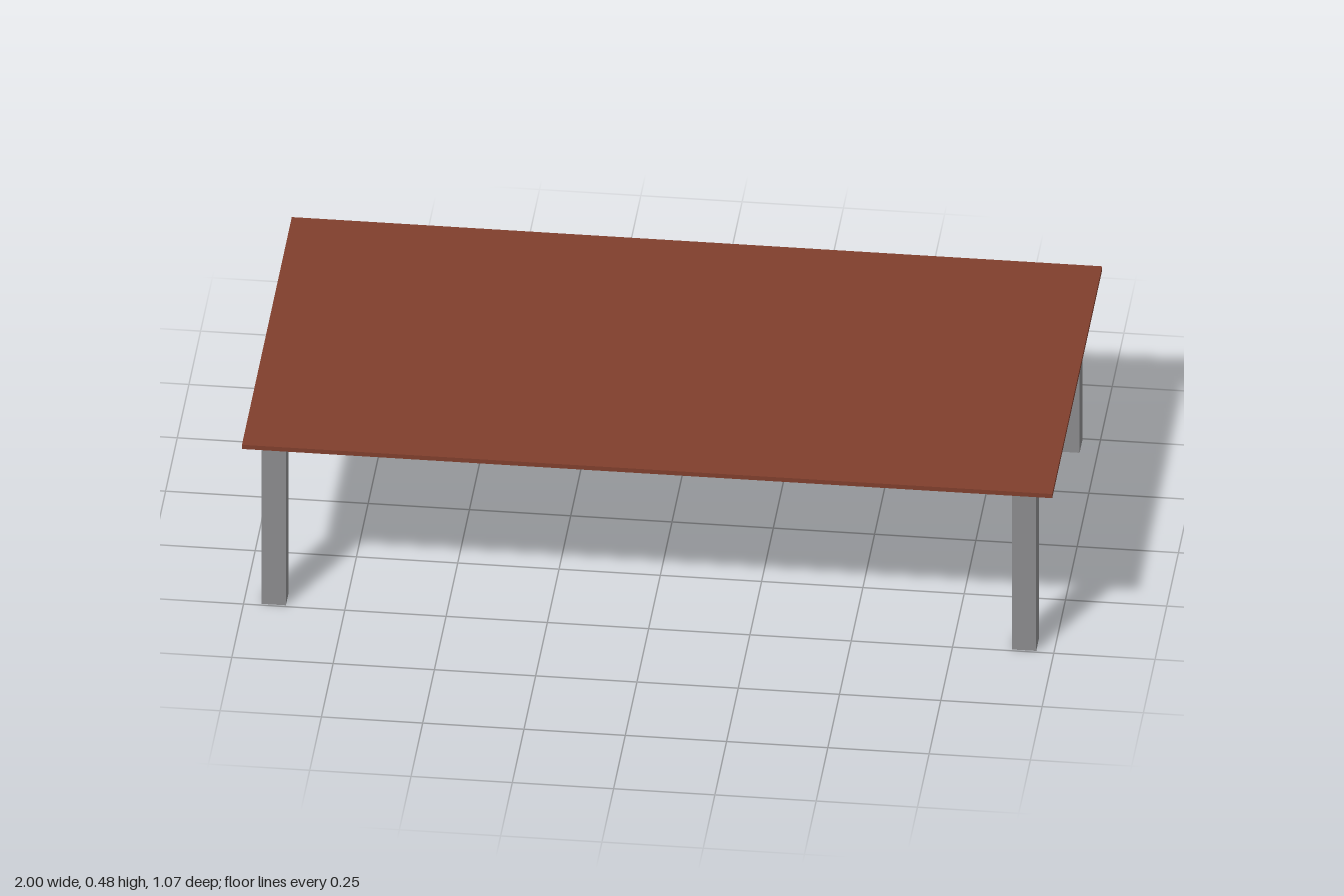
import * as THREE from 'three';

const HEIGHT = 0.48, THICKNESS = 0.012, DEPTH = 1.067;
const LEG = 0.06, LEG_X = 0.926, LEG_Z = 0.464;

export function createModel() {
  const table = new THREE.Group();
  table.name = 'table';
  const wood = new THREE.MeshStandardMaterial({ color: 0x803f2d });
  const metal = new THREE.MeshStandardMaterial({ color: 0x8c8c8e });

  // Thin rectangular top
  const top = new THREE.Mesh(new THREE.BoxGeometry(2, THICKNESS, DEPTH), wood);
  top.name = 'tabletop';
  top.position.y = HEIGHT - THICKNESS / 2;
  table.add(top);

  // Four square legs, inset from the corners
  const legHeight = HEIGHT - THICKNESS;
  const legGeometry = new THREE.BoxGeometry(LEG, legHeight, LEG);
  for (const [xName, sx] of [['Left', 1], ['Right', -1]]) {
    for (const [zName, sz] of [['front', 1], ['back', -1]]) {
      const leg = new THREE.Mesh(legGeometry, metal);
      leg.name = `${zName}${xName}Leg`;
      leg.position.set(sx * LEG_X, legHeight / 2, sz * LEG_Z);
      table.add(leg);
    }
  }
  return table;
}
